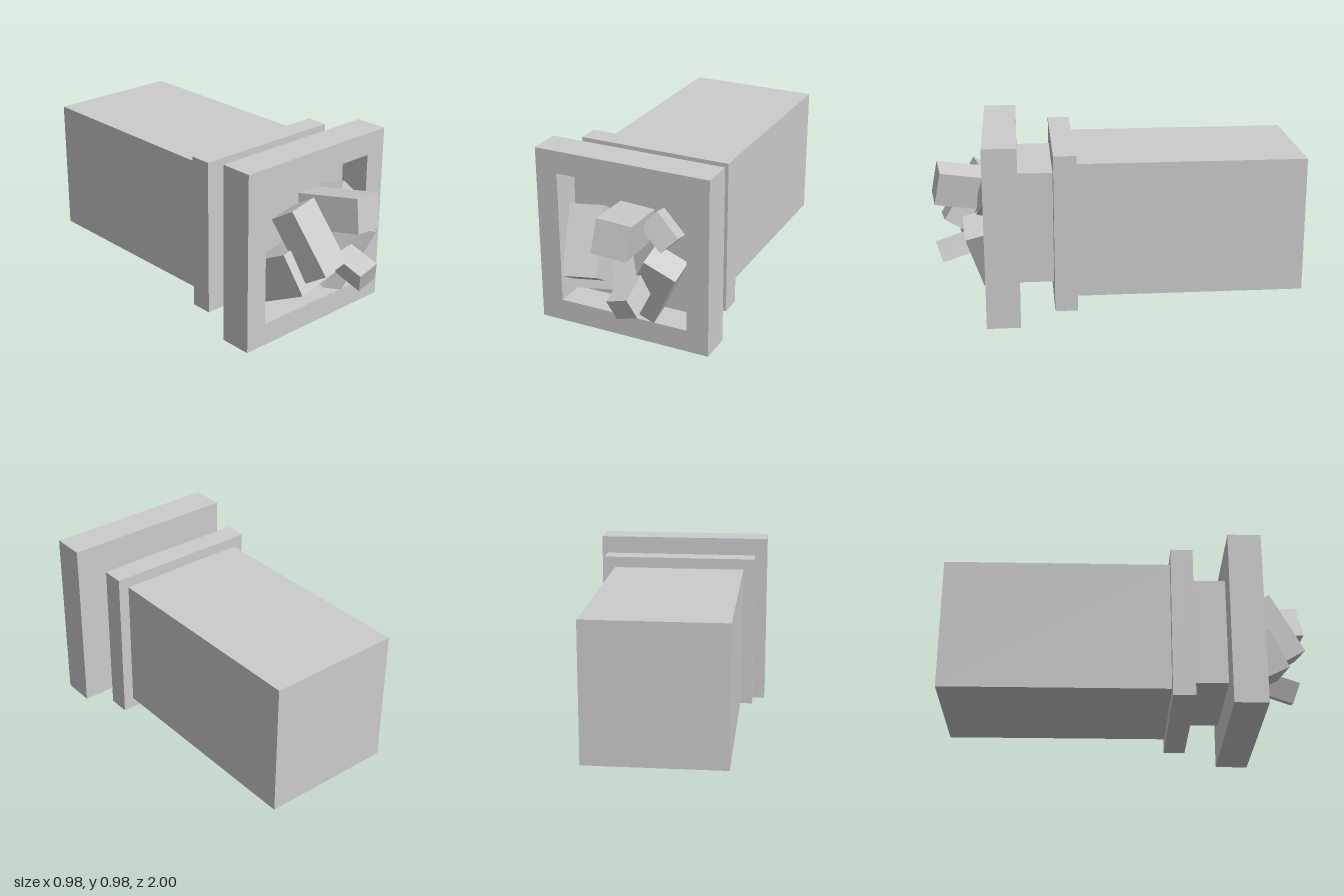
import * as THREE from 'three';

const material = new THREE.MeshStandardMaterial({ color: 0xcccccc, flatShading: true });
const MID_Y = 0.49;

function addMesh(parent, name, geometry) {
  const mesh = new THREE.Mesh(geometry, material);
  mesh.name = name;
  parent.add(mesh);
  return mesh;
}

// Block centred on the long axis, spanning z0..z1
function addBlock(parent, name, width, height, z0, z1) {
  const mesh = addMesh(parent, name, new THREE.BoxGeometry(width, height, z1 - z0));
  mesh.position.set(0, MID_Y, (z0 + z1) / 2);
}

// Tilted block: top-left front corner, edge to the right, edge downwards, depth
function addChunk(parent, name, corner, across, down, depth) {
  const p = new THREE.Vector3(...corner);
  const u = new THREE.Vector3(...across);
  const v = new THREE.Vector3(...down);
  const w = u.clone().cross(v).normalize();
  const size = [u.length(), v.length(), depth];
  const center = p.addScaledVector(u, 0.5).addScaledVector(v, 0.5).addScaledVector(w, depth / 2);
  const x = u.normalize();
  const y = w.clone().cross(x);
  const mesh = addMesh(parent, name, new THREE.BoxGeometry(...size));
  mesh.quaternion.setFromRotationMatrix(new THREE.Matrix4().makeBasis(x, y, w));
  mesh.position.copy(center);
}

function squarePoints(half) {
  return [[-half, -half], [half, -half], [half, half], [-half, half]]
    .map(([x, y]) => new THREE.Vector2(x, y));
}

export function createModel() {
  const model = new THREE.Group();
  model.name = 'hollowFrontedBlock';

  // Long body, collar and neck
  addBlock(model, 'body', 0.735, 0.735, -1, 0.23);
  addBlock(model, 'collar', 0.855, 0.855, 0.225, 0.345);
  addBlock(model, 'neck', 0.61, 0.61, 0.34, 0.535);

  // Front plate with a square recess
  addBlock(model, 'recessFloor', 0.98, 0.98, 0.53, 0.54);
  const outline = new THREE.Shape(squarePoints(0.49));
  outline.holes.push(new THREE.Path(squarePoints(0.3675).reverse()));
  const rim = addMesh(model, 'frontRim',
    new THREE.ExtrudeGeometry(outline, { depth: 0.17, bevelEnabled: false }));
  rim.position.set(0, MID_Y, 0.54);

  // Loose chunks piled in the recess
  const chunks = new THREE.Group();
  chunks.name = 'chunks';
  model.add(chunks);
  addChunk(chunks, 'tallChunk', [-0.255, 0.74, 0.775], [0.182, 0.015, -0.028], [0.055, -0.31, 0.19], 0.153);
  addChunk(chunks, 'wideChunk', [-0.295, 0.51, 0.762], [0.271, 0.035, -0.027], [0.037, -0.205, 0.103], 0.287);
  addChunk(chunks, 'upperChunk', [0.008, 0.793, 0.965], [0.18, -0.023, -0.025], [-0.019, -0.178, 0.035], 0.36);
  addChunk(chunks, 'cornerChunk', [0.2, 0.757, 0.7], [0.123, -0.122, 0.012], [-0.08, -0.08, 0.04], 0.14);
  addChunk(chunks, 'slabChunk', [0.187, 0.53, 0.83], [0.165, -0.08, -0.02], [-0.162, -0.322, -0.085], 0.152);
  addChunk(chunks, 'smallChunk', [0.055, 0.348, 0.972], [0.117, 0.038, 0.006], [0.034, -0.111, -0.038], 0.185);

  return model;
}
